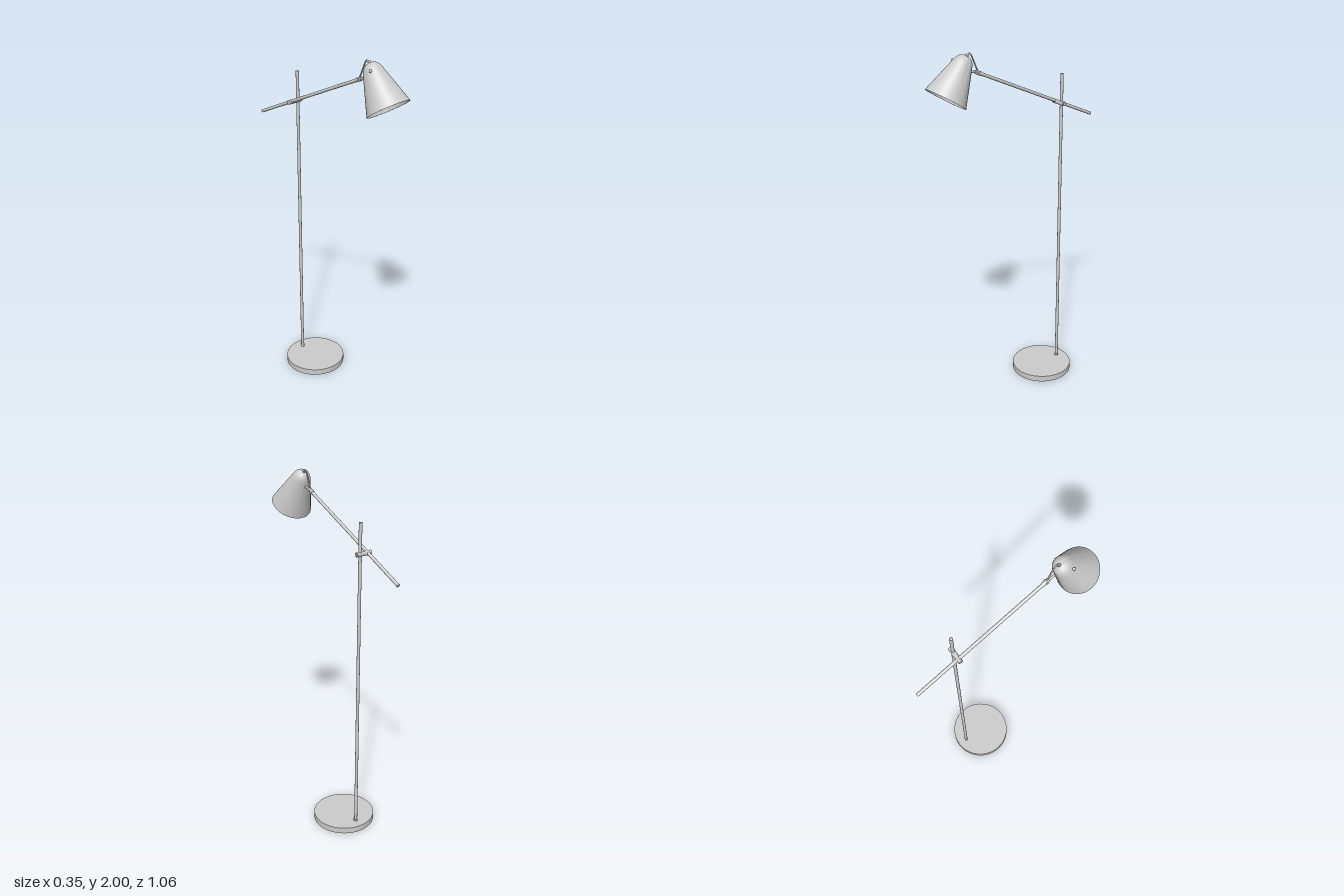
import * as THREE from 'three';
import { toCreasedNormals } from 'three/addons/utils/BufferGeometryUtils.js';

const V = (x, y, z) => new THREE.Vector3(x, y, z);

export function createModel() {
  const lamp = new THREE.Group();
  lamp.name = 'floorLamp';
  const material = new THREE.MeshStandardMaterial({ color: 0xcccccc });

  function add(name, geometry, parent = lamp) {
    const mesh = new THREE.Mesh(geometry, material);
    mesh.name = name;
    parent.add(mesh);
    return mesh;
  }

  // Round bar between two points
  function bar(name, a, b, radius, parent = lamp, sides = 24) {
    const mesh = add(name, new THREE.CylinderGeometry(radius, radius, a.distanceTo(b), sides), parent);
    mesh.position.copy(a).lerp(b, 0.5);
    mesh.quaternion.setFromUnitVectors(V(0, 1, 0), b.clone().sub(a).normalize());
    return mesh;
  }

  const armX = -0.047, poleZ = -0.276, clampY = 1.665;

  // Base disc and upright pole
  const base = add('base', new THREE.CylinderGeometry(0.177, 0.177, 0.036, 72));
  base.position.set(0, 0.018, -0.157);
  bar('poleCollar', V(0, 0.036, poleZ), V(0, 0.046, poleZ), 0.012);
  bar('pole', V(0, 0.03, poleZ), V(0, 1.83, poleZ), 0.009);

  // Tilted arm, sliding through a cross clamp
  const armBack = V(armX, 1.557, -0.528), armFront = V(armX, 1.893, 0.24);
  const along = t => armBack.clone().lerp(armFront, t);
  bar('arm', armBack, armFront, 0.009);
  bar('clamp', V(-0.068, clampY, poleZ), V(0.023, clampY, poleZ), 0.0125);
  bar('clampScrew', V(0.023, clampY, poleZ), V(0.026, clampY, poleZ), 0.007);

  // Hinge at the arm's end
  bar('hingeSleeve', along(0.97), along(1.015), 0.011);
  bar('hingePin', V(armX - 0.013, 1.893, 0.235), V(armX + 0.013, 1.893, 0.235), 0.005);
  bar('hingeLink', V(armX, 1.893, 0.235), V(armX, 1.904, 0.285), 0.006);

  // Bent strap from the hinge over the top of the shade
  const strapPath = new THREE.CatmullRomCurve3([
    V(armX, 1.893, 0.232), V(armX, 1.915, 0.245), V(armX, 1.955, 0.262),
    V(armX, 1.988, 0.277), V(armX, 1.996, 0.287), V(armX, 1.985, 0.302),
  ]);
  add('strap', new THREE.TubeGeometry(strapPath, 32, 0.004, 10));

  // Shade: its axis runs up local y from the centre of the rim
  const head = new THREE.Group();
  head.name = 'lampHead';
  head.position.set(armX, 1.78, 0.4345);
  head.rotation.x = -0.568;
  lamp.add(head);

  const outer = [
    [0.115, 0], [0.084, 0.1], [0.054, 0.195], [0.049, 0.21], [0.042, 0.224],
    [0.032, 0.235], [0.019, 0.242], [0, 0.245],
  ];
  const inner = outer.map(([r, y]) => [Math.max(r - 0.003, 0), y === 0 ? 0 : y - 0.003]).reverse();
  const profile = [...inner, ...outer].map(p => new THREE.Vector2(...p));
  add('shade', toCreasedNormals(new THREE.LatheGeometry(profile, 72), 0.6), head);

  // Bulb socket inside the shade
  bar('socket', V(0, 0.07, 0), V(0, 0.235, 0), 0.027, head, 32);

  // Screw on the crown and switch knob on the side
  bar('crownScrew', V(0, 0.238, 0), V(0, 0.252, 0), 0.009, head);
  const outward = V(-0.049, 0.02, 0.0315).normalize();
  const knobAt = V(-0.049, 0.197, 0.0315);
  bar('switchStem', knobAt.clone().addScaledVector(outward, -0.012), knobAt, 0.005, head);
  const knob = add('switchKnob', new THREE.SphereGeometry(0.008, 20, 14), head);
  knob.position.copy(knobAt);

  return lamp;
}
